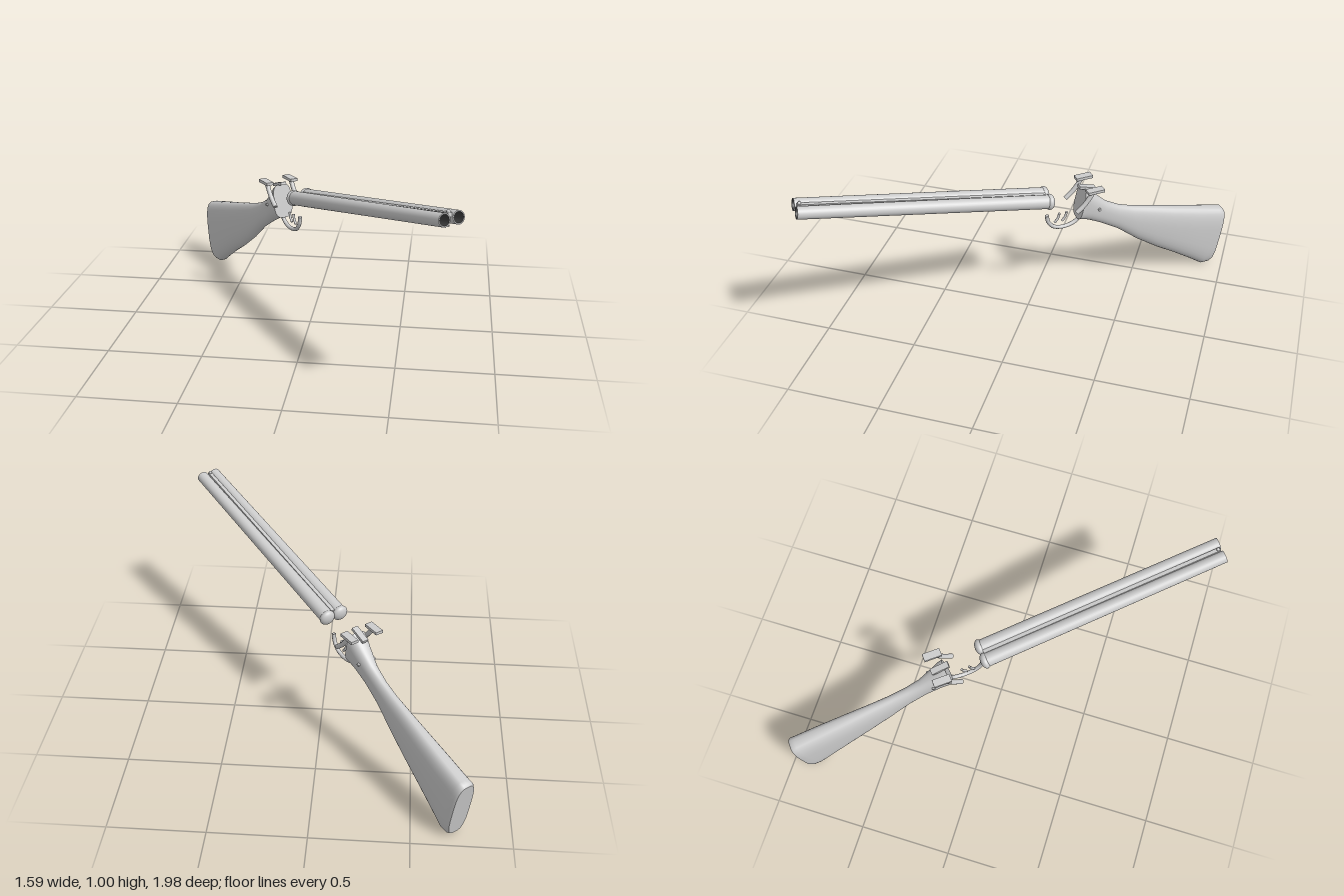
import * as THREE from 'three';

const steel = new THREE.MeshStandardMaterial({ color: 0xcccccc });
steel.name = 'light grey';
const dark = new THREE.MeshStandardMaterial({ color: 0x3c3c3c });
dark.name = 'dark bore';

function add(parent, name, geometry, material = steel) {
  const mesh = new THREE.Mesh(geometry, material);
  mesh.name = name;
  parent.add(mesh);
  return mesh;
}

// Lathe around the z axis from [radius, z] pairs
function turned(points, sides = 32) {
  const g = new THREE.LatheGeometry(points.map(p => new THREE.Vector2(p[0], p[1])), sides);
  return g.rotateX(Math.PI / 2);
}

// Capped tube through [z, y] points at a fixed sideways offset
function rod(parent, name, x, pts, radius, steps = 20) {
  const v = pts.map(([z, y]) => new THREE.Vector3(x, y, z));
  const curve = new THREE.CatmullRomCurve3(v);
  add(parent, name, new THREE.TubeGeometry(curve, steps, radius, 10));
  for (const t of [0, 1]) {
    const cap = add(parent, name + 'End', new THREE.CircleGeometry(radius, 10));
    const p = curve.getPoint(t);
    const dir = curve.getTangent(t).multiplyScalar(t ? 1 : -1);
    cap.position.copy(p);
    cap.lookAt(p.clone().add(dir));
  }
}

// Loft through sections: [topZ, topY, bottomZ, bottomY, halfWidth, squareness]
function loft(sections, n = 36) {
  const pos = [], index = [];
  const ring = ([tz, ty, bz, by, hw, e]) => {
    for (let j = 0; j < n; j++) {
      const a = j / n * Math.PI * 2, c = Math.cos(a), s = Math.sin(a);
      const t = (1 + Math.sign(s) * Math.abs(s) ** (2 / e)) / 2;
      pos.push(hw * Math.sign(c) * Math.abs(c) ** (2 / e), by + (ty - by) * t, bz + (tz - bz) * t);
    }
  };
  sections.forEach(ring);
  for (let i = 0; i < sections.length - 1; i++) {
    for (let j = 0; j < n; j++) {
      const a = i * n + j, b = i * n + (j + 1) % n;
      index.push(a, b, a + n, b, b + n, a + n);
    }
  }
  // Flat end caps with their own vertices
  for (const front of [false, true]) {
    const s = sections[front ? sections.length - 1 : 0];
    const base = pos.length / 3;
    ring(s);
    pos.push(0, (s[1] + s[3]) / 2, (s[0] + s[2]) / 2);
    for (let j = 0; j < n; j++) {
      const a = base + j, b = base + (j + 1) % n;
      index.push(base + n, front ? a : b, front ? b : a);
    }
  }
  const g = new THREE.BufferGeometry();
  g.setAttribute('position', new THREE.Float32BufferAttribute(pos, 3));
  g.setIndex(index);
  g.computeVertexNormals();
  return g;
}

function box(parent, name, w, h, d, x, y, z, tilt = 0) {
  const m = add(parent, name, new THREE.BoxGeometry(w, h, d));
  m.position.set(x, y, z);
  m.rotation.x = tilt;
}

export function createModel() {
  const model = new THREE.Group();
  model.name = 'model';
  // Everything is built along z, then turned sideways
  const body = new THREE.Group();
  body.name = 'body';
  body.rotation.y = 0.665;
  model.add(body);

  // Stock flowing into the receiver
  add(body, 'stock', loft([
    [-1.222, 0.352, -1.165, 0.012, 0.056, 3.2],
    [-1.212, 0.365, -1.145, 0.002, 0.062, 3.2],
    [-1.19, 0.371, -1.1, 0.0, 0.062, 3],
    [-1.05, 0.407, -1.03, 0.05, 0.06, 2.8],
    [-0.89, 0.447, -0.92, 0.122, 0.054, 2.6],
    [-0.74, 0.487, -0.8, 0.195, 0.046, 2.4],
    [-0.63, 0.516, -0.67, 0.285, 0.04, 2.3],
    [-0.54, 0.548, -0.54, 0.392, 0.036, 2.3],
    [-0.46, 0.592, -0.43, 0.462, 0.038, 2.4],
    [-0.38, 0.665, -0.35, 0.507, 0.05, 2.6],
    [-0.345, 0.7, -0.315, 0.523, 0.056, 2.9],
    [-0.32, 0.717, -0.283, 0.53, 0.058, 3],
  ]));

  // Cross pin and top lever
  const pin = add(body, 'crossPin', new THREE.CylinderGeometry(0.008, 0.008, 0.108, 12));
  pin.rotation.z = Math.PI / 2;
  pin.position.set(0, 0.58, -0.4);
  box(body, 'topLever', 0.034, 0.016, 0.1, 0, 0.712, -0.34, -0.3);

  // Hammers on both sides
  for (const side of [-1, 1]) {
    const x = side * 0.076;
    rod(body, 'hammerArm', x, [[-0.345, 0.728], [-0.322, 0.69], [-0.29, 0.65], [-0.25, 0.615]], 0.013);
    box(body, 'hammerSpur', 0.042, 0.016, 0.095, x, 0.73, -0.355);
  }

  // Trigger guard and two triggers
  rod(body, 'triggerGuard', 0,
    [[-0.31, 0.535], [-0.27, 0.503], [-0.21, 0.489], [-0.15, 0.503], [-0.118, 0.54], [-0.108, 0.585]], 0.011, 32);
  for (const z of [-0.225, -0.182]) {
    rod(body, 'trigger', 0, [[z, 0.58], [z + 0.008, 0.552], [z + 0.026, 0.528]], 0.007, 10);
  }

  // Barrel set, tilted upward to the muzzle
  const barrels = new THREE.Group();
  barrels.name = 'barrels';
  barrels.position.set(0, 0.7, -0.105);
  barrels.rotation.x = -Math.atan(0.203);
  body.add(barrels);
  const L = 1.34;
  for (const side of [-1, 1]) {
    // Rounded breech collar
    const collar = [];
    for (let i = 0; i <= 14; i++) {
      const a = -Math.PI / 2 + i / 14 * Math.PI * 0.85;
      collar.push([Math.max(0, 0.043 * Math.cos(a)), 0.026 * Math.sin(a)]);
    }
    add(barrels, 'breechCollar', turned(collar)).position.x = side * 0.04;
    add(barrels, 'barrel', turned([[0.038, 0], [0.032, L]])).position.x = side * 0.039;
    add(barrels, 'muzzleRim', turned([[0.032, L], [0.026, L]])).position.x = side * 0.039;
    add(barrels, 'bore', turned([[0.026, L], [0.026, L - 0.25], [0, L - 0.25]]), dark).position.x = side * 0.039;
  }

  // Top rib, front bead and lower rod
  box(barrels, 'topRib', 0.02, 0.02, L - 0.02, 0, 0.017, L / 2);
  add(barrels, 'bead', new THREE.SphereGeometry(0.009, 14, 10)).position.set(0, 0.031, L - 0.02);
  rod(barrels, 'lowerRod', 0, [[0.04, -0.037], [L - 0.04, -0.03]], 0.014, 2);

  return model;
}
